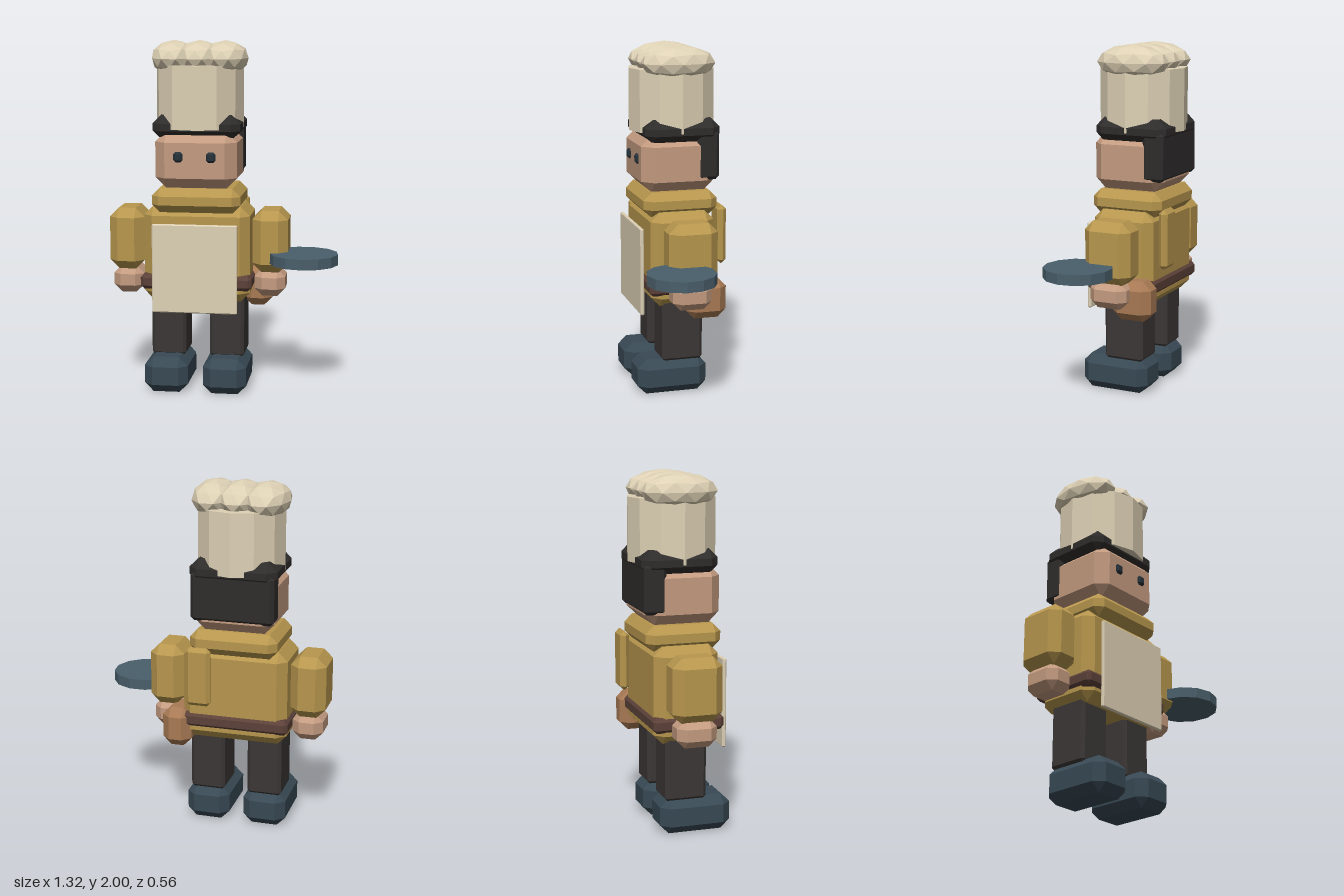
import * as THREE from 'three';
import { ConvexGeometry } from 'three/addons/geometries/ConvexGeometry.js';

const MID = -0.147; // centre line of the body

const COLORS = {
  cream: 0xded1b5, gold: 0xb8974e, trousers: 0x3b3736, hair: 0x2f2d2c, skin: 0xc49b80,
  shoe: 0x384954, plate: 0x4a5f6b, belt: 0x5c4139, pouch: 0xa87a54, eye: 0x27313a,
};
const materials = {};
for (const key in COLORS) {
  materials[key] = new THREE.MeshStandardMaterial({ color: COLORS[key], flatShading: true });
}

// Box with all edges and corners cut by a chamfer c
function chamferBox(w, h, d, c) {
  const points = [];
  for (const sx of [-1, 1]) for (const sy of [-1, 1]) for (const sz of [-1, 1]) {
    for (let axis = 0; axis < 3; axis++) {
      const k = [c, c, c];
      k[axis] = 0;
      points.push(new THREE.Vector3(sx * (w / 2 - k[0]), sy * (h / 2 - k[1]), sz * (d / 2 - k[2])));
    }
  }
  return new ConvexGeometry(points);
}

export function createModel() {
  const model = new THREE.Group();
  model.name = 'cook';

  function add(name, color, geometry, x, y, z) {
    const mesh = new THREE.Mesh(geometry, materials[color]);
    mesh.name = name;
    mesh.position.set(x, y, z);
    model.add(mesh);
    return mesh;
  }

  // Chamfered block: centre x and width, then y and z ranges
  function block(name, color, x, w, [y0, y1], [z0, z1], c) {
    return add(name, color, chamferBox(w, y1 - y0, z1 - z0, c), x, (y0 + y1) / 2, (z0 + z1) / 2);
  }

  // Mirrored limbs and eyes
  for (const [side, s] of [['left', 1], ['right', -1]]) {
    block(side + 'Shoe', 'shoe', MID + s * 0.168, 0.25, [0, 0.205], [-0.165, 0.243], 0.05);
    block(side + 'Leg', 'trousers', MID + s * 0.168, 0.2, [0.19, 0.57], [-0.14, 0.1], 0.018);
    block(side + 'Arm', 'gold', MID + s * 0.413, 0.203, [0.69, 1.045], [-0.165, 0.117], 0.052);
    block(side + 'Hand', 'skin', MID + s * 0.41, 0.176, [0.548, 0.705], [-0.135, 0.09], 0.045);
    block(side + 'Eye', 'eye', MID + s * 0.093, 0.052, [1.33, 1.387], [0.18, 0.214], 0.012);
  }

  // Body and clothing
  block('torso', 'gold', MID, 0.606, [0.525, 1.07], [-0.205, 0.165], 0.052);
  block('belt', 'belt', MID, 0.636, [0.597, 0.682], [-0.22, 0.185], 0.02);
  block('collar', 'gold', MID, 0.505, [1.038, 1.178], [-0.237, 0.195], 0.045);
  block('apron', 'cream', MID, 0.485, [0.472, 0.98], [0.2, 0.222], 0.006);
  block('pouch', 'pouch', 0.185, 0.17, [0.47, 0.7], [-0.245, -0.01], 0.048);
  block('backRod', 'gold', 0.039, 0.145, [0.75, 1.09], [-0.285, -0.232], 0.022);

  // Head and hair
  block('head', 'skin', MID, 0.465, [1.175, 1.5], [-0.235, 0.198], 0.062);
  block('backHair', 'hair', MID, 0.476, [1.24, 1.52], [-0.247, -0.12], 0.02);
  block('hairCap', 'hair', MID, 0.496, [1.45, 1.59], [-0.255, 0.18], 0.05);

  // Tall hat with three puffs on top
  add('hatBand', 'cream', new THREE.CylinderGeometry(0.25, 0.25, 0.355, 12), MID, 1.687, -0.025);
  const puff = new THREE.IcosahedronGeometry(1, 1);
  puff.rotateX(-Math.atan((1 + Math.sqrt(5)) / 2)); // one corner straight up
  puff.scale(0.13, 0.1, 0.217);
  for (const i of [-1, 0, 1]) add('hatPuff', 'cream', puff, MID + i * 0.147, 1.9, -0.025);

  // Round plate held beside the left hand
  add('plate', 'plate', new THREE.CylinderGeometry(0.195, 0.195, 0.06, 13), 0.46, 0.78, 0.085);

  return model;
}
